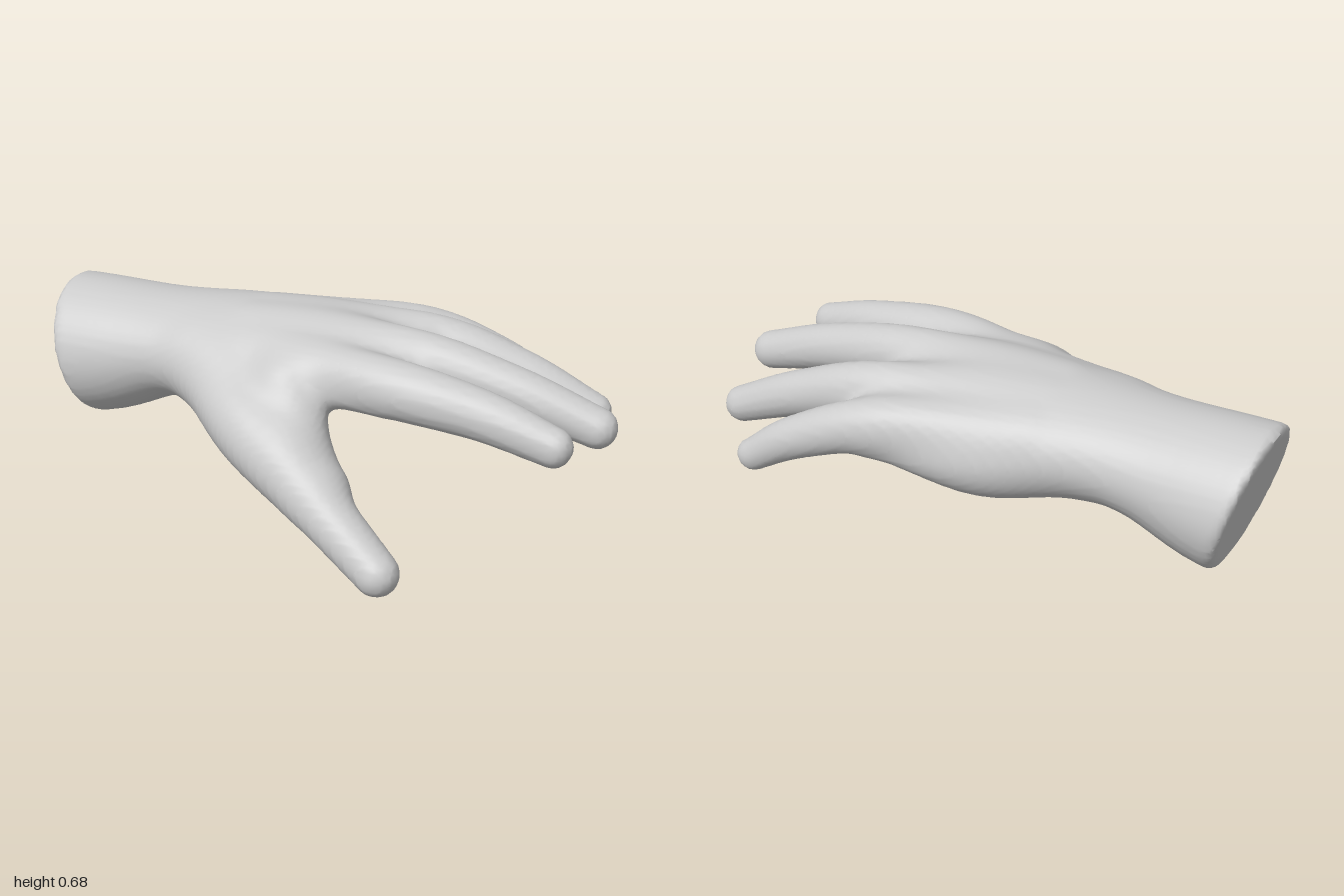
import * as THREE from 'three';

// Cut a smooth spine into short oval segments, each with its own frame.
// Section: [x, y, z, halfHeight, halfWidth = halfHeight, arch = 0, slope = 0];
// arch drops both sides, slope raises the +z side.
function makeSegments(keys) {
  const curve = (f) => new THREE.CatmullRomCurve3(keys.map(f), false, 'catmullrom', 0.5);
  const path = curve((k) => new THREE.Vector3(k[0], k[1], k[2]));
  const size = curve((k) => new THREE.Vector3(k[3], k[4] ?? k[3], 0));
  const skew = curve((k) => new THREE.Vector3(k[5] ?? 0, k[6] ?? 0, 0));
  const n = (keys.length - 1) * 7;
  return Array.from({ length: n }, (_, i) => {
    const [a, b] = [path.getPoint(i / n), path.getPoint((i + 1) / n)];
    const axis = b.clone().sub(a), length = axis.length();
    axis.normalize();
    const side = new THREE.Vector3().crossVectors(axis, new THREE.Vector3(0, 1, 0)).normalize();
    const up = new THREE.Vector3().crossVectors(side, axis);
    return { a, axis, side, up, length, s0: size.getPoint(i / n), s1: size.getPoint((i + 1) / n),
      bend: skew.getPoint((i + 0.5) / n) };
  });
}

// A part of the hand; blend is the width of the soft fillet where it joins the others
function makePart(name, blend, keys) {
  const box = new THREE.Box3();
  for (const [x, y, z, high, wide = high] of keys) {
    const size = new THREE.Vector3().setScalar(2 * Math.max(high, wide));
    box.union(new THREE.Box3().setFromCenterAndSize(new THREE.Vector3(x, y, z), size));
  }
  return { name, blend, box, segments: makeSegments(keys) };
}

// A finger from tendon through knuckle and middle joint to tip, tapering evenly
function makeFinger(name, tendon, knuckle, joint, tip, base, end) {
  const middle = base.map((r, i) => r * 0.55 + end[i] * 0.45);
  return makePart(name, 0.05, [
    [...tendon, 0.07, 0.07], [...knuckle, ...base], [...joint, ...middle], [...tip, ...end],
  ]);
}

// Signed distance from a point to one oval segment
const rel = new THREE.Vector3();
function segmentDistance(p, g) {
  rel.subVectors(p, g.a);
  const along = rel.dot(g.axis);
  const h = Math.min(1, Math.max(0, along / g.length));
  const high = g.s0.x + (g.s1.x - g.s0.x) * h, wide = g.s0.y + (g.s1.y - g.s0.y) * h;
  const end = Math.min(high, wide);
  const t = along - h * g.length, s = rel.dot(g.side);
  const q = Math.min(1.2, Math.max(-1.2, s / wide));
  const u = rel.dot(g.up) + g.bend.x * q * q - g.bend.y * q;
  const k0 = Math.hypot(t / end, u / high, s / wide);
  const k1 = Math.hypot(t / end ** 2, u / high ** 2, s / wide ** 2);
  return k1 < 1e-6 ? -end : k0 * (k0 - 1) / k1;
}

function partDistance(p, part) {
  const far = part.box.distanceToPoint(p);
  if (far > 0.12) return far;
  return part.segments.reduce((d, g) => Math.min(d, segmentDistance(p, g)), Infinity);
}

const smoothMin = (a, b, k) => Math.min(a, b) - Math.max(k - Math.abs(a - b), 0) ** 2 / (4 * k);

// Wrap a smooth skin around a distance function; ownerOf sorts its faces into groups
function makeSkin(distance, ownerOf, groups) {
  const H = 0.016, origin = [-1.06, -0.05, -0.65], count = [134, 51, 82];
  const stride = [1, count[0], count[0] * count[1]];
  const values = new Float32Array(count[0] * count[1] * count[2]).fill(1);
  const p = new THREE.Vector3();
  const eachCell = (visit) => {
    for (let z = 1; z < count[2] - 1; z++)
      for (let y = 1; y < count[1] - 1; y++)
        for (let x = 1; x < count[0] - 1; x++) visit(x + y * stride[1] + z * stride[2], [x, y, z]);
  };
  eachCell((i, c) => {
    values[i] = distance(p.fromArray(c.map((n, a) => origin[a] + n * H)));
  });

  // One vertex per crossed cell, at the mean of its edge crossings
  const positions = [], owner = [], vertexAt = new Map();
  eachCell((i, c) => {
    const sum = [0, 0, 0];
    let hits = 0;
    for (let a = 0; a < 3; a++) {
      const b = (a + 1) % 3, d = (a + 2) % 3;
      for (let m = 0; m < 4; m++) {
        const j = i + (m & 1) * stride[b] + (m >> 1) * stride[d];
        const v0 = values[j], v1 = values[j + stride[a]];
        if (v0 < 0 === v1 < 0) continue;
        sum[a] += v0 / (v0 - v1);
        sum[b] += m & 1;
        sum[d] += m >> 1;
        hits++;
      }
    }
    if (!hits) return;
    p.fromArray(sum.map((s, a) => origin[a] + (c[a] + s / hits) * H));
    vertexAt.set(i, owner.length);
    positions.push(p.x, p.y, p.z);
    owner.push(ownerOf(p));
  });

  // One quad around each crossed grid edge
  const faces = Array.from({ length: groups }, () => []);
  eachCell((i) => {
    for (let a = 0; a < 3; a++) {
      const inside = values[i] < 0;
      if (inside === values[i + stride[a]] < 0) continue;
      const b = stride[(a + 1) % 3], d = stride[(a + 2) % 3];
      const quad = [i - b - d, i - d, i, i - b].map((k) => vertexAt.get(k));
      if (!inside) quad.reverse();
      const [q0, q1, q2, q3] = quad;
      faces[owner[q0]].push(q0, q1, q2, q0, q2, q3);
    }
  });
  const skin = new THREE.BufferGeometry();
  skin.setAttribute('position', new THREE.Float32BufferAttribute(positions, 3));
  skin.setIndex(faces.flat());
  skin.computeVertexNormals();
  return { skin, faces };
}

export function createModel() {
  const wristAndPalm = makePart('wristAndPalm', 0.05, [
    [-1.15, 0.42, -0.12, 0.25, 0.26], [-0.88, 0.425, -0.12, 0.245, 0.255],
    [-0.6, 0.475, -0.12, 0.187, 0.24], [-0.3, 0.51, -0.12, 0.166, 0.27, 0.01],
    [0, 0.54, -0.135, 0.137, 0.32, 0.05, 0.015], [0.27, 0.54, -0.14, 0.08, 0.32, 0.06, 0.03],
  ]);
  const heelOfHand = makePart('heelOfHand', 0.1, [
    [-0.38, 0.46, -0.21, 0.11], [-0.1, 0.425, -0.325, 0.125], [0.22, 0.475, -0.4, 0.085],
  ]);
  const thumb = makePart('thumb', 0.1, [
    [-0.42, 0.47, 0.02, 0.105], [-0.15, 0.37, 0.225, 0.135],
    [0.12, 0.24, 0.385, 0.098], [0.385, 0.083, 0.507, 0.074],
  ]);
  const thumbMuscle = makePart('thumbMuscle', 0.1, [
    [-0.35, 0.44, 0.02, 0.1], [-0.1, 0.335, 0.14, 0.12], [0.12, 0.24, 0.32, 0.085],
  ]);
  const thumbWeb = makePart('thumbWeb', 0.1, [
    [-0.06, 0.51, 0.14, 0.08], [-0.01, 0.42, 0.2, 0.07], [0.01, 0.32, 0.29, 0.07],
  ]);
  const indexFinger = makeFinger('indexFinger', [-0.25, 0.55, 0.02], [0.25, 0.55, 0.125],
    [0.6, 0.515, 0.153], [0.85, 0.455, 0.178], [0.098, 0.095], [0.067, 0.06]);
  const middleFinger = makeFinger('middleFinger', [-0.25, 0.59, -0.06], [0.27, 0.574, -0.075],
    [0.64, 0.513, -0.068], [0.935, 0.425, -0.068], [0.098, 0.087], [0.069, 0.067]);
  const ringFinger = makeFinger('ringFinger', [-0.25, 0.575, -0.18], [0.27, 0.548, -0.285],
    [0.6, 0.465, -0.322], [0.87, 0.352, -0.335], [0.097, 0.081], [0.064, 0.06]);
  const littleFinger = makeFinger('littleFinger', [-0.25, 0.54, -0.3], [0.2, 0.515, -0.435],
    [0.5, 0.417, -0.505], [0.68, 0.308, -0.536], [0.09, 0.081], [0.056, 0.048]);
  const parts = [wristAndPalm, heelOfHand, thumb, thumbMuscle, thumbWeb,
    indexFinger, middleFinger, ringFinger, littleFinger];

  // All parts softly joined, then cut by the slanted plane at the wrist
  const handDistance = (p) => {
    const d = parts.reduce((m, part) => smoothMin(m, partDistance(p, part), part.blend), 10);
    const cut = -0.968 * p.x - 0.252 * p.y - 0.802;
    return -smoothMin(-d, -cut, 0.03);
  };
  const nearestPart = (p) => {
    const distances = parts.map((part) => partDistance(p, part));
    return distances.indexOf(Math.min(...distances));
  };
  const { skin, faces } = makeSkin(handDistance, nearestPart, parts.length);

  // One named mesh per part, sharing the smooth normals of the whole skin
  const hand = new THREE.Group();
  hand.name = 'hand';
  const material = new THREE.MeshStandardMaterial({ color: 0xcccccc });
  parts.forEach(({ name }, k) => {
    const geometry = new THREE.BufferGeometry();
    geometry.setAttribute('position', skin.attributes.position);
    geometry.setAttribute('normal', skin.attributes.normal);
    geometry.setIndex(faces[k]);
    const mesh = new THREE.Mesh(geometry, material);
    mesh.name = name;
    hand.add(mesh);
  });
  return hand;
}
